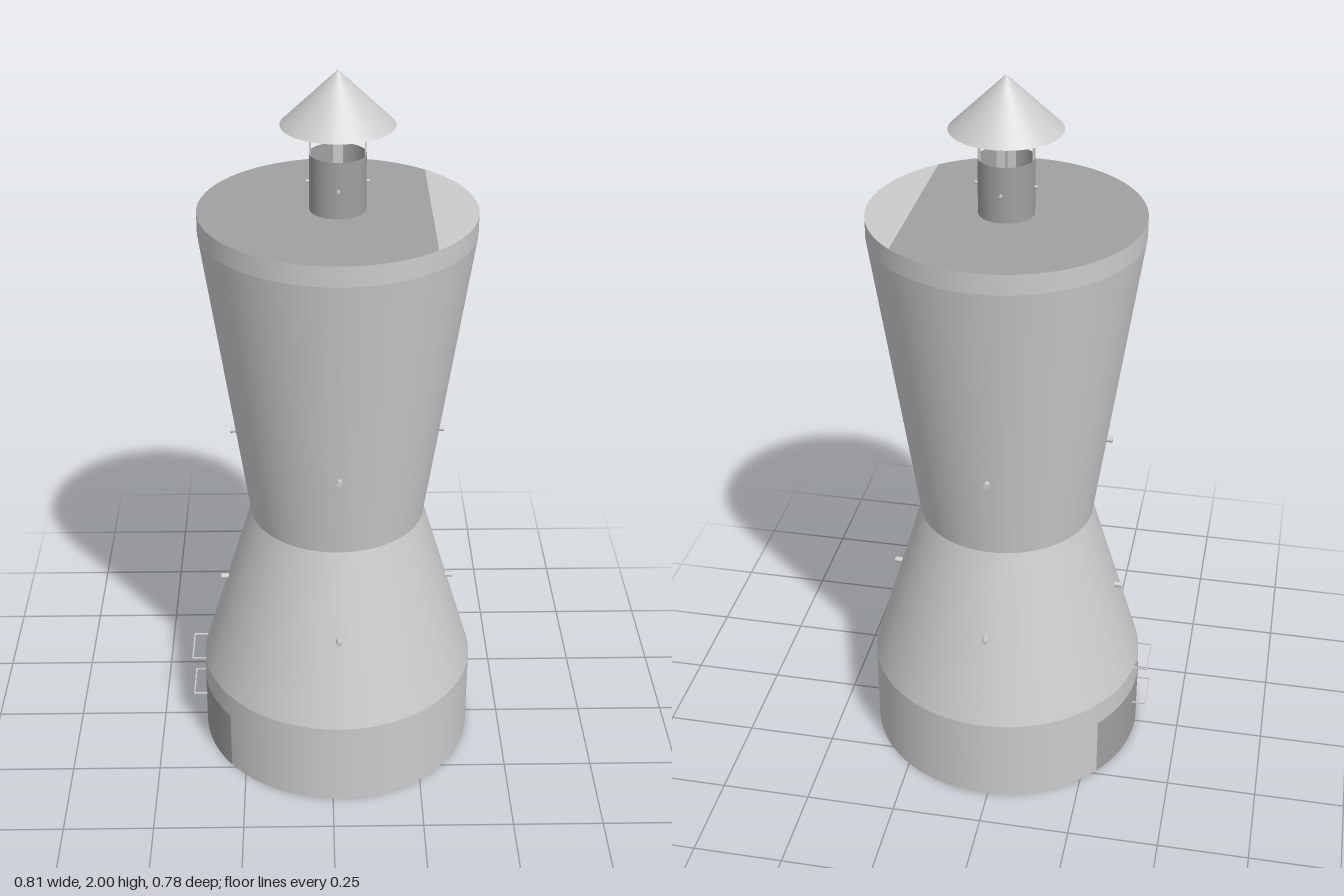
import * as THREE from 'three';

const SEG = 64;
const grey = new THREE.MeshStandardMaterial({ color: 0xcccccc, side: THREE.DoubleSide });
const dark = new THREE.MeshStandardMaterial({ color: 0xa0a0a0, side: THREE.DoubleSide });

export function createModel() {
  const model = new THREE.Group();
  model.name = 'stove';
  model.position.x = 0.017;

  const add = (name, geometry, material = grey, x = 0, y = 0, z = 0, parent = model) => {
    const mesh = new THREE.Mesh(geometry, material);
    mesh.name = name;
    mesh.position.set(x, y, z);
    parent.add(mesh);
    return mesh;
  };
  // open ring wall between two heights
  const wall = (name, rBottom, rTop, y0, y1, material = grey) =>
    add(name, new THREE.CylinderGeometry(rTop, rBottom, y1 - y0, SEG, 1, true), material, 0, (y0 + y1) / 2);

  // body, from the ground up
  const floor = add('floor', new THREE.CircleGeometry(0.388, SEG));
  floor.rotation.x = Math.PI / 2;
  wall('base', 0.388, 0.388, 0, 0.25);
  wall('lowerCone', 0.388, 0.242, 0.25, 0.74);
  wall('upperCone', 0.242, 0.362, 0.74, 1.58);
  wall('collar', 0.362, 0.362, 1.58, 1.635);

  // flat top, split by a chord into a large plate and a small flap
  const half = 0.843;
  const plate = (name, start, end, material) => {
    const shape = new THREE.Shape();
    shape.absarc(0, 0, 0.362, start, end, false);
    shape.closePath();
    add(name, new THREE.ShapeGeometry(shape, SEG), material, 0, 1.635).rotation.x = -Math.PI / 2;
  };
  plate('topPlate', half, 2 * Math.PI - half, dark);
  plate('topFlap', -half, half, grey);

  // curved door on the -x side of the base
  const doorHalf = 0.658;
  add('door', new THREE.CylinderGeometry(0.3895, 0.3895, 0.18, 24, 1, true,
    -Math.PI / 2 - doorHalf, 2 * doorHalf), dark, 0, 0.09);

  // thin wire handles
  for (const y of [0.12, 0.25]) {
    const handle = new THREE.Group();
    handle.name = 'handle';
    handle.position.y = y;
    model.add(handle);
    add('grip', new THREE.BoxGeometry(0.004, 0.004, 0.12), grey, -0.422, 0, 0, handle);
    for (const s of [-1, 1])
      add('arm', new THREE.BoxGeometry(0.044, 0.004, 0.004), grey, -0.402, 0, s * 0.058, handle);
  }

  // chimney pipe and its rain hat
  wall('chimneyPipe', 0.073, 0.073, 1.635, 1.785, dark);
  wall('chimneyHat', 0.146, 0, 1.86, 2);

  // four of everything around the axis: hat straps and bolts
  for (let i = 0; i < 4; i++) {
    const side = new THREE.Group();
    side.name = 'fittings';
    side.rotation.y = i * Math.PI / 2;
    model.add(side);
    add('hatStrap', new THREE.BoxGeometry(0.004, 0.24, 0.022), grey, 0.07, 1.8, 0, side);
    const bolt = (r, y, radius, length) => {
      add('bolt', new THREE.CylinderGeometry(radius, radius, length, 12), grey, r, y, 0, side)
        .rotation.z = Math.PI / 2;
    };
    bolt(0.32, 0.5, 0.008, 0.026);
    bolt(0.28, 0.985, 0.008, 0.026);
    bolt(0.073, 1.71, 0.004, 0.016);
  }
  return model;
}
